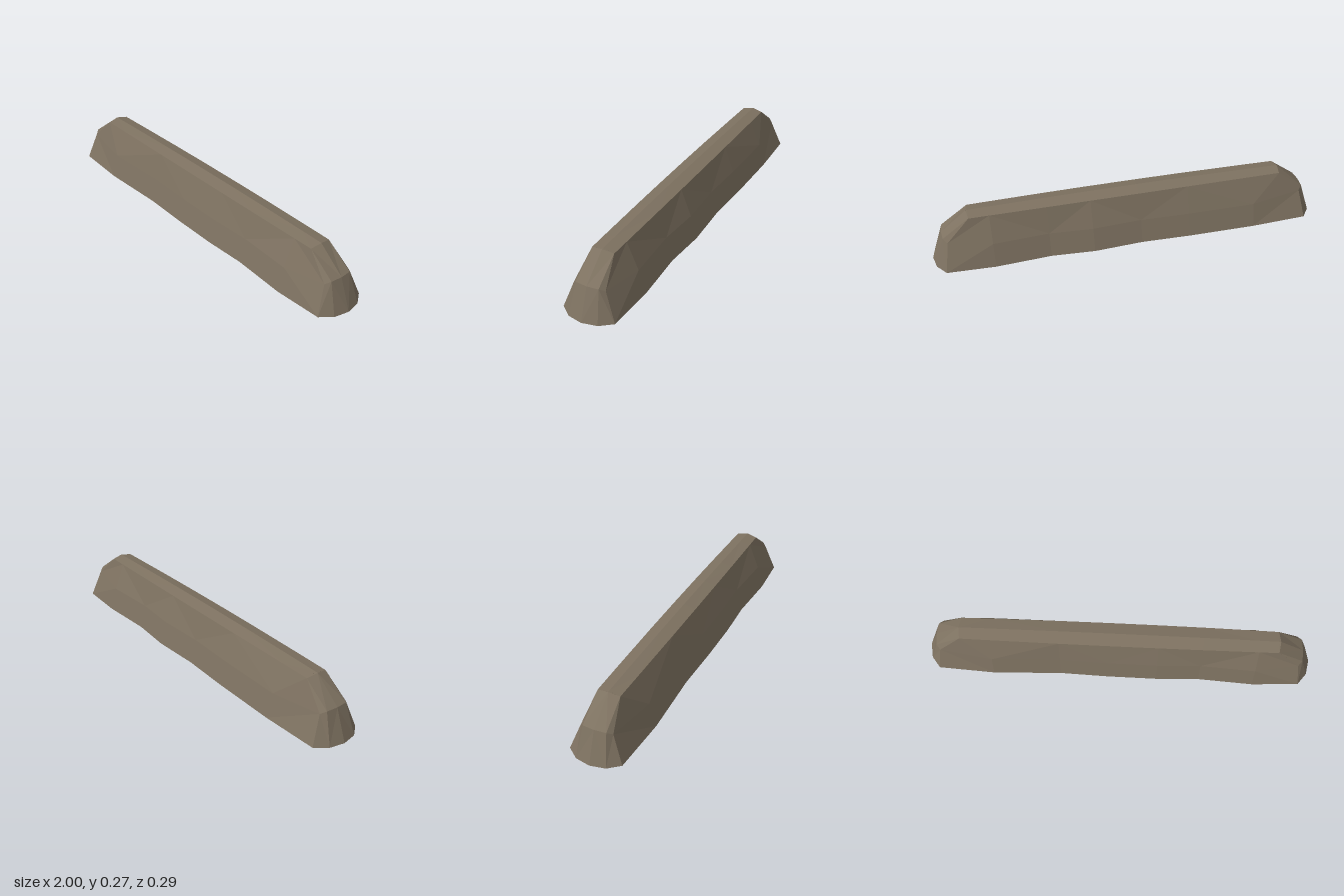
import * as THREE from 'three';

export function createModel() {
  const group = new THREE.Group();
  group.name = 'earthBarrier';
  const earth = new THREE.MeshStandardMaterial({ color: 0x7d7160, side: THREE.DoubleSide, flatShading: true });
  earth.name = 'dryEarth';

  // Stations along the length, with the wavy foot width of each long side
  const footX = [-0.94, -0.65, -0.3, -0.05, 0.2, 0.42, 0.7, 0.94];
  const footFront = [0.13, 0.145, 0.131, 0.138, 0.139, 0.13, 0.145, 0.132];
  const footBack = [0.134, 0.146, 0.143, 0.134, 0.146, 0.13, 0.145, 0.134];
  const last = footX.length - 1;

  // A closed loop: front side (-x to +x), +x end, back side, -x end
  function loop(side, end) {
    const front = footX.map((x, i) => side(x, i, 1));
    const back = footX.map((x, i) => side(x, i, -1)).reverse();
    return [...front, ...end(1), ...back, ...end(-1)];
  }
  const endArc = (x1, z, x2, y) => (s) => [[s * x1, y, s * z], [s * x2, y, 0], [s * x1, y, -s * z]];

  const foot = loop(
    (x, i, s) => [x, 0, s * (s > 0 ? footFront : footBack)[i]],
    endArc(0.985, 0.075, 1, 0));
  const waist = loop(
    (x, i, s) => (i === 0 || i === last)
      ? [Math.sign(x) * 0.915, 0.14, s * 0.08]
      : [x, 0.12, s * ((s > 0 ? footFront : footBack)[i] - 0.032)],
    endArc(0.935, 0.058, 0.94, 0.155));
  const shoulderY = (x) => 0.258 - 0.006 * x * x;
  const shoulder = loop(
    (x, i, s) => {
      const px = THREE.MathUtils.clamp(x, -0.8, 0.8);
      return [px, shoulderY(px), s * (0.062 - 0.009 * px * px)];
    },
    (s) => [1, 0, -1].map((k) => [s * (k ? 0.8 : 0.808), k ? shoulderY(0.8) : 0.264, s * k * 0.056]));
  const crest = shoulder.map(([x]) => [
    THREE.MathUtils.clamp(x, -0.808, 0.808), 0.273 - 0.013 * x * x, 0]);

  // Skin the loops from foot to crest, leaving the underside open
  const loops = [foot, waist, shoulder, crest];
  const n = foot.length;
  const index = [];
  for (let r = 0; r < loops.length - 1; r++) {
    for (let i = 0; i < n; i++) {
      const j = (i + 1) % n;
      const a = r * n + i, b = r * n + j, c = a + n, d = b + n;
      if (i % 2) index.push(a, b, d, a, d, c);
      else index.push(a, b, c, b, d, c);
    }
  }
  const geometry = new THREE.BufferGeometry();
  geometry.setAttribute('position', new THREE.Float32BufferAttribute(loops.flat(2), 3));
  geometry.setIndex(index);
  geometry.computeVertexNormals();

  const mound = new THREE.Mesh(geometry, earth);
  mound.name = 'moundShell';
  group.add(mound);
  return group;
}
